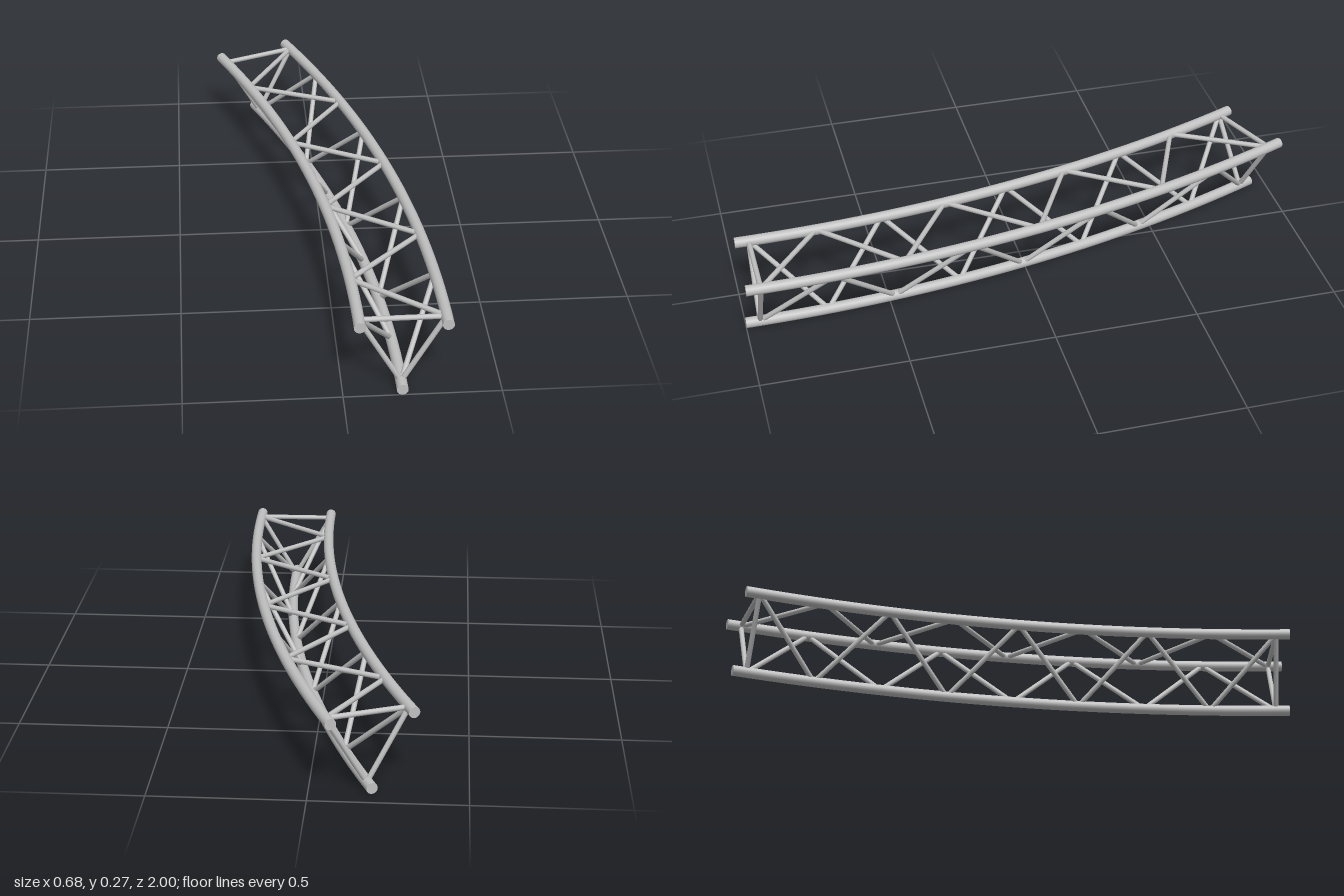
import * as THREE from 'three';

const ARC = Math.PI / 8;          // sweep of the curved truss
const CX = -4.885;                // x of the bend centre (its z is 1)
const TUBE = 0.0185, ROD = 0.0088;
const CHORDS = {
  inner: { r: 4.935, y: 0.256 },
  outer: { r: 5.208, y: 0.256 },
  bottom: { r: 5.0715, y: 0.0185 },
};

// Point on a chord's centre line at bend angle a
const pointOn = ({ r, y }, a) =>
  new THREE.Vector3(CX + r * Math.cos(a), y, 1 - r * Math.sin(a));

class ChordCurve extends THREE.Curve {
  constructor(chord) { super(); this.chord = chord; }
  getPoint(t, target = new THREE.Vector3()) {
    return target.copy(pointOn(this.chord, t * ARC));
  }
}

export function createModel() {
  const model = new THREE.Group();
  model.name = 'curvedTriangularTruss';
  const metal = new THREE.MeshStandardMaterial({ color: 0xc0c0c0 });
  metal.name = 'aluminium grey';

  const add = (geometry, name) => {
    const mesh = new THREE.Mesh(geometry, metal);
    mesh.name = name;
    model.add(mesh);
    return mesh;
  };

  // Three curved main tubes with flat end caps
  for (const [name, chord] of Object.entries(CHORDS)) {
    add(new THREE.TubeGeometry(new ChordCurve(chord), 32, TUBE, 24), name + 'Chord');
    for (const a of [0, ARC]) {
      const cap = add(new THREE.CircleGeometry(TUBE, 24), name + 'ChordCap');
      cap.position.copy(pointOn(chord, a));
      cap.rotation.y = a === 0 ? 0 : Math.PI + a;
    }
  }

  // Straight rod between two chords
  const rod = (from, a, to, b, name) => {
    const p = pointOn(CHORDS[from], a), q = pointOn(CHORDS[to], b);
    const dir = q.clone().sub(p);
    const mesh = add(new THREE.CylinderGeometry(ROD, ROD, dir.length(), 12), name);
    mesh.position.copy(p).add(q).multiplyScalar(0.5);
    mesh.quaternion.setFromUnitVectors(new THREE.Vector3(0, 1, 0), dir.normalize());
  };

  // Each face: a zigzag over eight bays, plus a cross strut at both ends
  const BAYS = 8, START = 0.0096;
  const node = (i) => START + (i / BAYS) * (ARC - 2 * START);
  const faces = [['outer', 'inner'], ['bottom', 'outer'], ['inner', 'bottom']];
  for (const [even, odd] of faces) {
    for (let i = 0; i < BAYS; i++) {
      const [from, to] = i % 2 ? [odd, even] : [even, odd];
      rod(from, node(i), to, node(i + 1), 'diagonalBrace');
    }
    for (const i of [0, BAYS]) rod(even, node(i), odd, node(i), 'endStrut');
  }
  return model;
}
